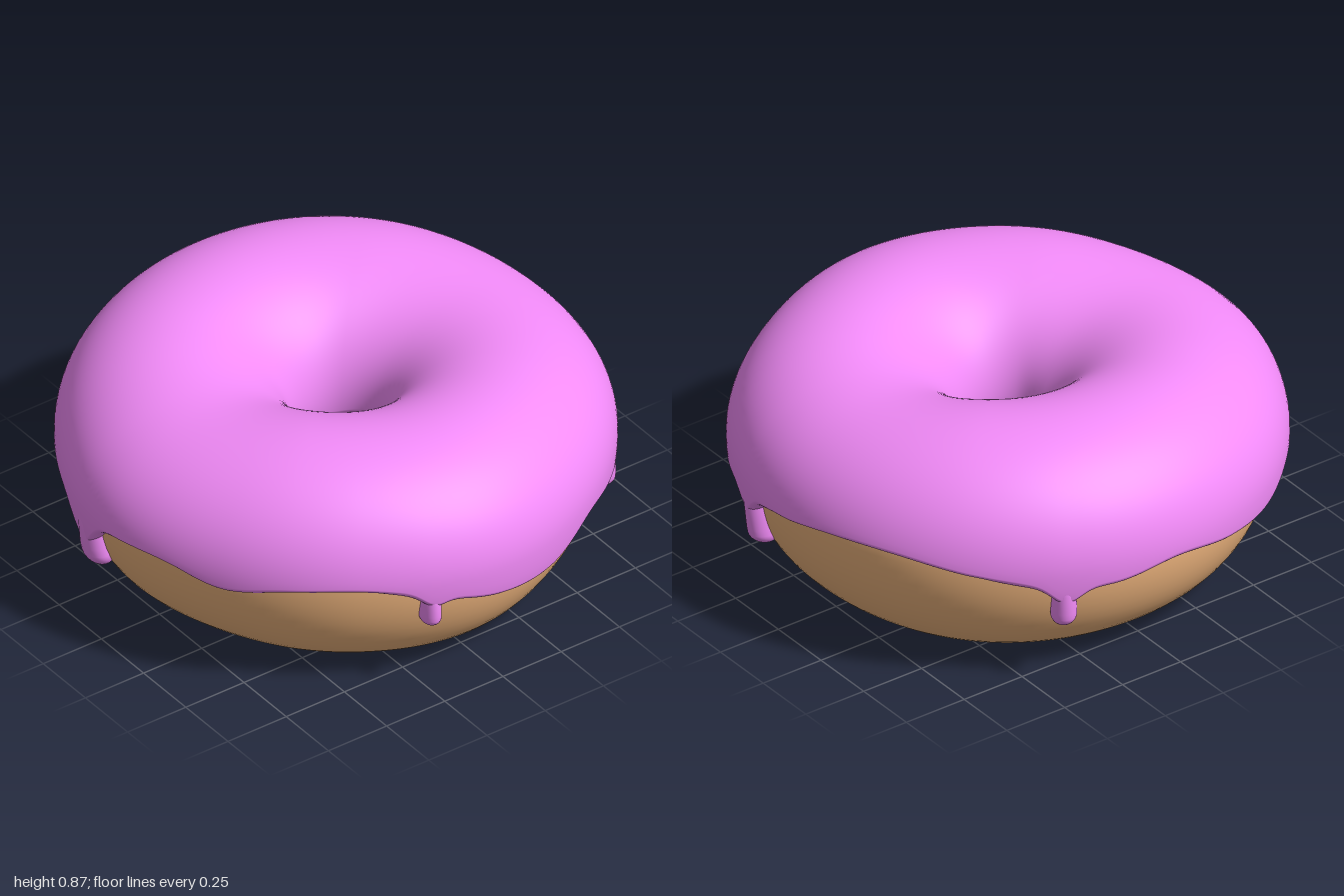
import * as THREE from 'three';
import { mergeVertices } from 'three/addons/utils/BufferGeometryUtils.js';

const TAU = Math.PI * 2;
const RAD = Math.PI / 180;
const THICK = 0.05; // icing thickness

// Smooth periodic function through values spaced evenly around the ring
function ring(values) {
  const n = values.length;
  return (theta) => {
    const t = (((theta / TAU) % 1) + 1) % 1 * n;
    const i = Math.floor(t), f = t - i;
    const [a, b, c, d] = [-1, 0, 1, 2].map((k) => values[(i + k + n) % n]);
    return b + 0.5 * f * (c - a + f * (2 * a - 5 * b + 4 * c - d + f * (3 * (b - c) + d - a)));
  };
}

// Angles run from +x towards +z
const outerRadius = ring([1, 0.975, 0.968, 0.993, 0.975, 0.985, 1, 1.012, 1.012, 1, 0.99, 0.98]);
const holeRadius = ring([0.155, 0.143, 0.122, 0.145, 0.148, 0.16, 0.172, 0.168]);
const topHeight = ring([0.848, 0.85, 0.81, 0.838, 0.866, 0.858, 0.81, 0.825]);
const bottomHeight = ring([0, 0.01, 0.035, 0.025, 0.018, 0.012, 0.03, 0.012]);
const hemBase = ring([
  0.34, 0.40, 0.455, 0.445, 0.41, 0.455, 0.44, 0.41, 0.415, 0.41, 0.37, 0.385,
  0.42, 0.39, 0.41, 0.46, 0.495, 0.49, 0.45, 0.40, 0.375, 0.37, 0.39, 0.33,
]);
const drips = [
  { angle: 99.5, tip: 0.2, width: 0.066, flare: 0.11 },
  { angle: 15, tip: 0.275, width: 0.038, flare: 0.035 },
  { angle: -52, tip: 0.26, width: 0.038, flare: 0.035 },
  { angle: -75, tip: 0.2, width: 0.046, flare: 0.06 },
  { angle: 205, tip: 0.235, width: 0.046, flare: 0.06 },
];

// Outer hem of the icing, pulled down where a drip leaves it
function hemHeight(theta) {
  let y = hemBase(theta);
  for (const d of drips) {
    const diff = theta - d.angle * RAD;
    const gap = Math.atan2(Math.sin(diff), Math.cos(diff)) / (d.width * 1.5);
    y -= d.flare * Math.exp(-gap * gap);
  }
  return y;
}

// Cross-section of the dough at one angle
function section(theta) {
  const ro = outerRadius(theta) - THICK, ri = holeRadius(theta) + THICK;
  const cy = 0.46;
  return {
    c: (ro + ri) / 2, a: (ro - ri) / 2, cy,
    up: topHeight(theta) - THICK - cy, down: cy - bottomHeight(theta),
  };
}

// Sideways reach of the section, a little fuller below the middle
function reach(phi) {
  const cos = Math.cos(phi);
  return Math.sin(phi) < 0 ? Math.sign(cos) * Math.abs(cos) ** 0.86 : cos;
}

// Point on the dough, lifted outwards by an offset
function surface(theta, phi, lift = 0) {
  const s = section(theta), sin = Math.sin(phi);
  const r = s.c + (s.a + lift) * reach(phi);
  const y = s.cy + ((sin > 0 ? s.up : s.down) + lift) * sin;
  return [r * Math.cos(theta), y, r * Math.sin(theta)];
}

const phiAt = (theta, y) => {
  const s = section(theta);
  return Math.asin((y - s.cy) / (y > s.cy ? s.up : s.down));
};

// Outer radius of the dough at a height
function radiusAt(theta, y) {
  const s = section(theta);
  return s.c + s.a * reach(phiAt(theta, y));
}

// Closed ring of cross-sections; rows may join up or stay open
function ringGeometry(cols, rows, closed, point) {
  const pos = [], index = [];
  for (let i = 0; i < cols; i++) {
    for (let j = 0; j < rows; j++) pos.push(...point((i / cols) * TAU, j));
  }
  const last = closed ? rows : rows - 1;
  for (let i = 0; i < cols; i++) {
    for (let j = 0; j < last; j++) {
      const i2 = (i + 1) % cols, j2 = (j + 1) % rows;
      const a = i * rows + j, b = i * rows + j2, c = i2 * rows + j2, d = i2 * rows + j;
      index.push(a, b, d, b, c, d);
    }
  }
  const g = new THREE.BufferGeometry();
  g.setAttribute('position', new THREE.Float32BufferAttribute(pos, 3));
  g.setIndex(index);
  g.computeVertexNormals();
  return g;
}

function icingGeometry() {
  const EDGE = 8, MID = 48, rows = EDGE * 2 + MID + 1, bevel = 0.075;
  return ringGeometry(360, rows, false, (theta, j) => {
    const start = phiAt(theta, hemHeight(theta));
    const end = Math.PI - phiAt(theta, 0.42 + 0.015 * Math.sin(3 * theta));
    // Rounded lip at both hems, full thickness between
    const k = Math.min(j, rows - 1 - j);
    if (k < EDGE) {
      const q = (k / EDGE) * Math.PI / 2, s = bevel * (1 - Math.cos(q));
      return surface(theta, j < EDGE ? start + s : end - s, THICK * Math.sin(q) - 0.004 * Math.cos(q));
    }
    const f = (j - EDGE) / MID;
    return surface(theta, start + bevel + f * (end - start - 2 * bevel), THICK);
  });
}

// Rounded bead hanging from the hem against the side of the dough
function dripGeometry({ angle, tip, width: w }) {
  const theta0 = angle * RAD, hem = hemBase(theta0);
  const neck = Math.max(hem - 0.02, tip + 2 * w);
  const profile = [];
  for (let i = 0; i <= 8; i++) {
    const q = (i / 8) * Math.PI / 2;
    profile.push(new THREE.Vector2(w * Math.sin(q), tip + w * (1 - Math.cos(q))));
  }
  profile.push(
    new THREE.Vector2(0.98 * w, tip + 1.5 * w), new THREE.Vector2(0.9 * w, neck),
    new THREE.Vector2(0.7 * w, neck + 0.05), new THREE.Vector2(0.4 * w, neck + 0.1),
    new THREE.Vector2(0, neck + 0.13),
  );
  let g = new THREE.LatheGeometry(profile, 28);
  const p = g.attributes.position;
  for (let i = 0; i < p.count; i++) {
    const theta = theta0 - p.getX(i) / 0.94, y = p.getY(i);
    // Hangs between the slope of the dough and straight down
    const slope = radiusAt(theta, y), plumb = radiusAt(theta, Math.max(y, hem));
    const r = 0.6 * slope + 0.4 * plumb + p.getZ(i) * (0.058 / w);
    p.setXYZ(i, r * Math.cos(theta), y, r * Math.sin(theta));
  }
  g.deleteAttribute('uv');
  g.deleteAttribute('normal');
  g = mergeVertices(g, 1e-5);
  g.computeVertexNormals();
  return g;
}

export function createModel() {
  const group = new THREE.Group();
  group.name = 'donut';
  const doughMat = new THREE.MeshStandardMaterial({ color: 0xf4b981 });
  const icingMat = new THREE.MeshStandardMaterial({ color: 0xf48cfa });
  icingMat.side = THREE.DoubleSide;
  const add = (name, geometry, material) => {
    const mesh = new THREE.Mesh(geometry, material);
    mesh.name = name;
    group.add(mesh);
  };

  // Uneven ring of dough
  const rows = 64;
  add('dough', ringGeometry(160, rows, true, (t, j) => surface(t, (j / rows) * TAU)), doughMat);

  // Icing shell and its drips
  add('icing', icingGeometry(), icingMat);
  drips.forEach((d, i) => add(`icingDrip${i + 1}`, dripGeometry(d), icingMat));
  return group;
}
